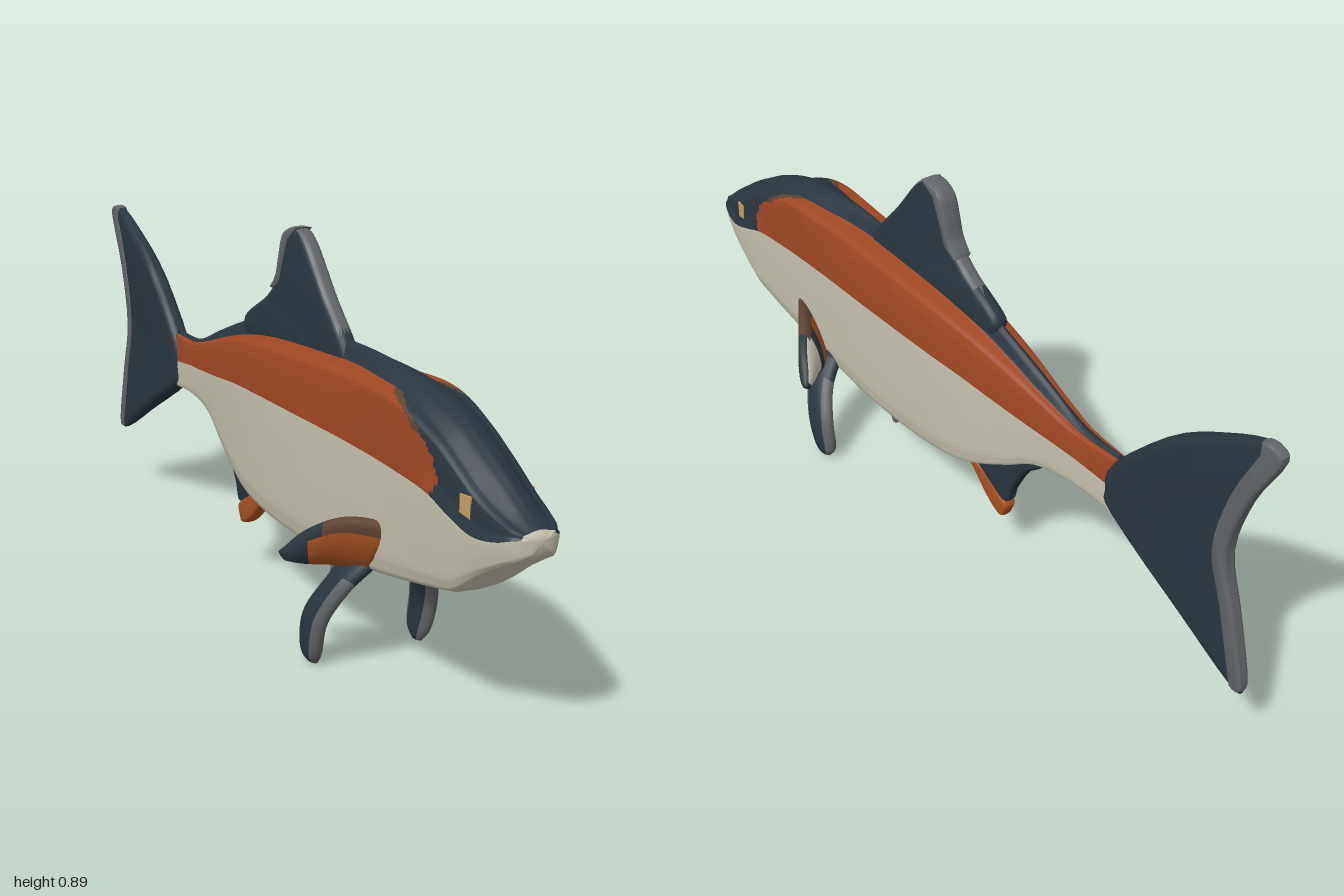
import * as THREE from 'three';
import { toCreasedNormals } from 'three/addons/utils/BufferGeometryUtils.js';

const paint = (name, color) => new THREE.MeshStandardMaterial({ name, color });
const navy = paint('navy', 0x2a3640), orange = paint('rust orange', 0xa04724),
  cream = paint('cream', 0xc9c5b1), grey = paint('fin edge grey', 0x626568),
  amber = paint('fin orange', 0xaa5423), brown = paint('brown', 0x5e4430), tan = paint('eye tan', 0xc6a064);

const { lerp, smoothstep, clamp } = THREE.MathUtils;

// Index a geometry from [a, b, c, material] faces, one group per material
function paintedMesh(name, geo, faces) {
  const mats = [...new Set(faces.map(f => f[3]))], index = [];
  mats.forEach((m, i) => {
    const start = index.length;
    faces.forEach(f => { if (f[3] === m) index.push(f[0], f[1], f[2]); });
    geo.addGroup(start, index.length - start, i);
  });
  geo.setIndex(index);
  if (!geo.attributes.normal) geo.computeVertexNormals();
  const mesh = new THREE.Mesh(geo, mats);
  mesh.name = name;
  return mesh;
}

// Closed smooth skin over rings of points; rule(ring, side) picks the material
function loft(name, rings, rule) {
  const centre = r => r.reduce((s, p) => s.add(p), new THREE.Vector3()).divideScalar(r.length);
  const n = rings[0].length, last = rings.length - 1;
  const pts = rings.flat(), faces = [];
  pts.push(centre(rings[0]), centre(rings[last]));
  for (let i = 0; i <= last; i++) for (let j = 0; j < n; j++) {
    const k = (j + 1) % n, a = i * n + j, b = i * n + k;
    if (i === 0) faces.push([pts.length - 2, b, a, rule(0, j)]);
    if (i === last) faces.push([pts.length - 1, a, b, rule(last - 1, j)]);
    else faces.push([a, b, b + n, rule(i, j)], [a, b + n, a + n, rule(i, j)]);
  }
  // Turn the faces outward
  const volume = faces.reduce((s, f) =>
    s + pts[f[0]].dot(new THREE.Vector3().crossVectors(pts[f[1]], pts[f[2]])), 0);
  if (volume < 0) faces.forEach(f => { [f[1], f[2]] = [f[2], f[1]]; });
  return paintedMesh(name, new THREE.BufferGeometry().setFromPoints(pts), faces);
}

// Upright fin on the centre line from a [z, y] outline; rule(centre, normal) picks the material
function medianFin(name, outline, half, bevel, rule, taper = () => 1) {
  const pts = outline.map(([z, y]) => new THREE.Vector2(-z, y));
  const shape = new THREE.Shape([pts[0], ...new THREE.SplineCurve(pts).getPoints(48).slice(1)]);
  let geo = new THREE.ExtrudeGeometry(shape, {
    depth: half * 0.4, bevelThickness: half * 0.8, bevelSize: bevel, bevelOffset: -bevel, bevelSegments: 4,
  });
  geo.translate(0, 0, -half * 0.2).rotateY(Math.PI / 2);
  const pos = geo.attributes.position;
  for (let i = 0; i < pos.count; i++) pos.setX(i, pos.getX(i) * taper(pos.getZ(i)));
  geo.clearGroups();
  geo = toCreasedNormals(geo, 0.7);
  const p = geo.attributes.position, tri = new THREE.Triangle(), faces = [];
  const c = new THREE.Vector3(), nrm = new THREE.Vector3();
  for (let i = 0; i < p.count; i += 3) {
    tri.setFromAttributeAndIndices(p, i, i + 1, i + 2);
    tri.getMidpoint(c);
    tri.getNormal(nrm);
    faces.push([i, i + 1, i + 2, rule(c, nrm)]);
  }
  return paintedMesh(name, geo, faces);
}

// Paired fin blade: matching points on the front and back edge, oval in section
function blade(name, side, front, back, thick, rule) {
  const curve = list => new THREE.CatmullRomCurve3(list.map(p => new THREE.Vector3(p[0] * side, p[1], p[2])));
  const F = curve(front), B = curve(back), rings = [], steps = 24, n = 20;
  for (let i = 0; i <= steps; i++) {
    const t = i / steps, f = F.getPoint(t), b = B.getPoint(t);
    const mid = f.clone().add(b).multiplyScalar(0.5), across = f.clone().sub(mid);
    const normal = F.getTangent(t).add(B.getTangent(t)).cross(across).normalize()
      .multiplyScalar(thick * side * (1 - 0.6 * t ** 8));
    rings.push(Array.from({ length: n }, (_, j) => {
      const a = (j / n) * Math.PI * 2;
      return mid.clone().addScaledVector(across, Math.cos(a)).addScaledVector(normal, Math.sin(a));
    }));
  }
  return loft(name, rings, (i, j) => rule(i / steps, ((j + 0.5) / n) * Math.PI * 2));
}

function body() {
  // z, ridge top, stripe top, stripe bottom, belly, half width
  const keys = [
    [-0.57, 0.53, 0.52, 0.45, 0.38, 0.018], [-0.45, 0.53, 0.522, 0.465, 0.385, 0.03],
    [-0.33, 0.575, 0.55, 0.475, 0.364, 0.045], [-0.235, 0.61, 0.577, 0.485, 0.305, 0.058],
    [-0.1, 0.655, 0.605, 0.5, 0.235, 0.075], [0, 0.67, 0.618, 0.505, 0.214, 0.084],
    [0.25, 0.677, 0.632, 0.505, 0.202, 0.09], [0.46, 0.673, 0.637, 0.5, 0.22, 0.088],
    [0.62, 0.65, 0.63, 0.49, 0.245, 0.086], [0.754, 0.61, 0.58, 0.474, 0.272, 0.085],
    [0.81, 0.58, 0.548, 0.455, 0.288, 0.084], [0.89, 0.535, 0.5, 0.432, 0.347, 0.078],
    [0.95, 0.495, 0.475, 0.437, 0.385, 0.066], [0.985, 0.47, 0.462, 0.448, 0.405, 0.05],
    [1, 0.455, 0.453, 0.45, 0.42, 0.025],
  ];
  const at = new THREE.CubicInterpolant(keys.map(k => k[0]), keys.flatMap(k => k.slice(1)), 5);
  const zs = [], rings = [], steps = 180, sub = 4, rows = 13 * sub;
  for (let i = 0; i <= steps; i++) {
    const z = -0.57 + 1.57 * (i / steps);
    const [T, S, L, B, W] = at.evaluate(z);
    const h = L - B, s = S - L;
    // Half width of the dark ridge, widening into the head
    const R = lerp(Math.min(0.02, W * 0.4), W * 0.6, smoothstep(z, 0.3, 0.65));
    // Upper head sits inside the cheeks and lip
    const U = W * (1 - 0.1 * smoothstep(z, 0.64, 0.8));
    // Flanks lean inward behind the square shoulders
    const square = smoothstep(z, 0.35, 0.58);
    const lean = (back, shoulder) => U * lerp(back, shoulder, square);
    const corners = [
      [0, B], [0.5 * W, B + 0.003], [0.78 * W, B + 0.06 * h], [0.88 * W, B + 0.2 * h], [0.94 * W, B + 0.5 * h],
      [0.98 * W, B + 0.8 * h], [W, L], [lean(0.96, 1), L + 0.35 * s], [lean(0.88, 0.98), L + 0.7 * s],
      [lean(0.79, 0.94), L + 0.92 * s], [lean(0.68, 0.84), S],
      [R, S + 0.12 * (T - S)], [0.5 * R, S + 0.75 * (T - S)], [0, T],
    ];
    const half = Array.from({ length: rows + 1 }, (_, r) => {
      const k = Math.min(Math.floor(r / sub), 12), t = r / sub - k;
      return [0, 1].map(c => lerp(corners[k][c], corners[k + 1][c], t));
    });
    const mirrored = half.slice(1, -1).reverse().map(([x, y]) => [-x, y]);
    zs.push(z);
    rings.push([...half, ...mirrored].map(([x, y]) => new THREE.Vector3(x, y, z)));
  }
  // Rounded front end of the side stripe, from its lower edge to its upper one
  const ends = [0.75, 0.768, 0.745, 0.69, 0.64, 0.6];
  return loft('body', rings, (i, j) => {
    const row = ((j < rows ? j : 2 * rows - 1 - j) + 0.5) / sub - 6;
    if (row < 0 || zs[i] > 0.985) return cream;
    if (row > 5) return navy;
    const k = Math.floor(row), end = lerp(ends[k], ends[k + 1], row - k);
    if (row > 2.5 && zs[i] > end - 0.035 && zs[i] < end) return brown;
    return zs[i] < end ? orange : navy;
  });
}

export function createModel() {
  const fish = new THREE.Group();
  fish.name = 'fish';
  fish.add(body());

  // Dorsal fin with a broad pale rear edge
  fish.add(medianFin('dorsalFin', [
    [0.33, 0.62], [0.3, 0.675], [0.22, 0.76], [0.135, 0.862], [0.085, 0.886], [0.037, 0.862],
    [0.008, 0.775], [-0.05, 0.715], [-0.16, 0.65], [-0.15, 0.6],
  ], 0.022, 0.018, (c, n) => (c.y > 0.69 && Math.abs(n.x) < 0.75 ? grey : navy)));
  fish.add(medianFin('dorsalFinEdge', [
    [0.1, 0.888], [0.068, 0.886], [0.034, 0.864], [0.016, 0.815], [0.004, 0.775], [-0.022, 0.735],
    [0.02, 0.75], [0.042, 0.8], [0.066, 0.855],
  ], 0.0235, 0.006, () => grey));

  // Forked tail, thinning to the rear, with a pale trailing edge
  const thin = z => clamp(1 + (z + 0.7) * 1.8, 0.45, 1);
  fish.add(medianFin('tailFin', [
    [-0.54, 0.44], [-0.555, 0.505], [-0.71, 0.665], [-0.85, 0.755], [-0.955, 0.802], [-0.994, 0.775],
    [-0.926, 0.64], [-0.889, 0.49], [-0.926, 0.36], [-0.968, 0.2], [-0.94, 0.18], [-0.77, 0.272],
    [-0.56, 0.385], [-0.54, 0.43],
  ], 0.024, 0.02, () => navy, thin));
  fish.add(medianFin('tailFinEdge', [
    [-0.945, 0.8], [-0.972, 0.804], [-0.999, 0.776], [-0.931, 0.64], [-0.894, 0.49], [-0.931, 0.36],
    [-0.973, 0.2], [-0.945, 0.18], [-0.93, 0.22], [-0.893, 0.36], [-0.856, 0.49], [-0.886, 0.64], [-0.944, 0.77],
  ], 0.026, 0.006, () => grey, thin));

  // Rear belly fin with an orange tip
  fish.add(medianFin('analFin', [
    [-0.06, 0.25], [-0.11, 0.215], [-0.2, 0.172], [-0.225, 0.22], [-0.27, 0.295], [-0.34, 0.37], [-0.2, 0.37],
  ], 0.016, 0.008, () => navy));
  fish.add(medianFin('analFinTip', [
    [-0.04, 0.235], [-0.075, 0.205], [-0.14, 0.145], [-0.185, 0.122], [-0.2, 0.135], [-0.203, 0.172], [-0.12, 0.222],
  ], 0.017, 0.008, () => amber));
  fish.add(medianFin('bellyFlap', [
    [0.38, 0.22], [0.33, 0.19], [0.28, 0.155], [0.25, 0.127], [0.25, 0.16], [0.27, 0.19], [0.25, 0.22],
  ], 0.014, 0.008, () => grey));

  // Pectoral colours: orange front face, brown upper edge, dark tip, pale patch behind
  const pectoral = (t, a) => {
    const edge = Math.cos(a);
    if (edge > 0.7 && t < 0.5) return brown;
    if (Math.sin(a) > 0) return t > 0.62 || (t > 0.45 && edge > 0.6) ? navy : amber;
    if (t < 0.3) return amber;
    return t > 0.42 && t < 0.92 && Math.abs(edge) < 0.8 ? cream : navy;
  };
  for (const side of [1, -1]) {
    const label = side > 0 ? 'left' : 'right';
    fish.add(blade(label + 'PectoralFin', side,
      [[0.06, 0.365, 0.6], [0.12, 0.358, 0.5], [0.17, 0.312, 0.42], [0.198, 0.255, 0.36]],
      [[0.06, 0.228, 0.48], [0.108, 0.233, 0.43], [0.152, 0.233, 0.4], [0.188, 0.236, 0.375]],
      0.021, pectoral));
    // Pelvic fin: dark faces between pale edges
    fish.add(blade(label + 'PelvicFin', side,
      [[0.06, 0.25, 0.52], [0.105, 0.2, 0.495], [0.138, 0.11, 0.45], [0.137, 0.035, 0.425], [0.13, 0.004, 0.405]],
      [[0.06, 0.25, 0.42], [0.1, 0.19, 0.4], [0.132, 0.11, 0.36], [0.133, 0.035, 0.352], [0.13, 0.004, 0.375]],
      0.022, (t, a) => (t > 0.2 && Math.abs(Math.cos(a)) > 0.65 ? grey : navy)));

    const eye = new THREE.Mesh(new THREE.BoxGeometry(0.009, 0.044, 0.03), tan);
    eye.name = label + 'Eye';
    eye.position.set(side * 0.0695, 0.48, 0.86);
    eye.rotation.y = -side * 0.12;
    fish.add(eye);
  }
  return fish;
}
